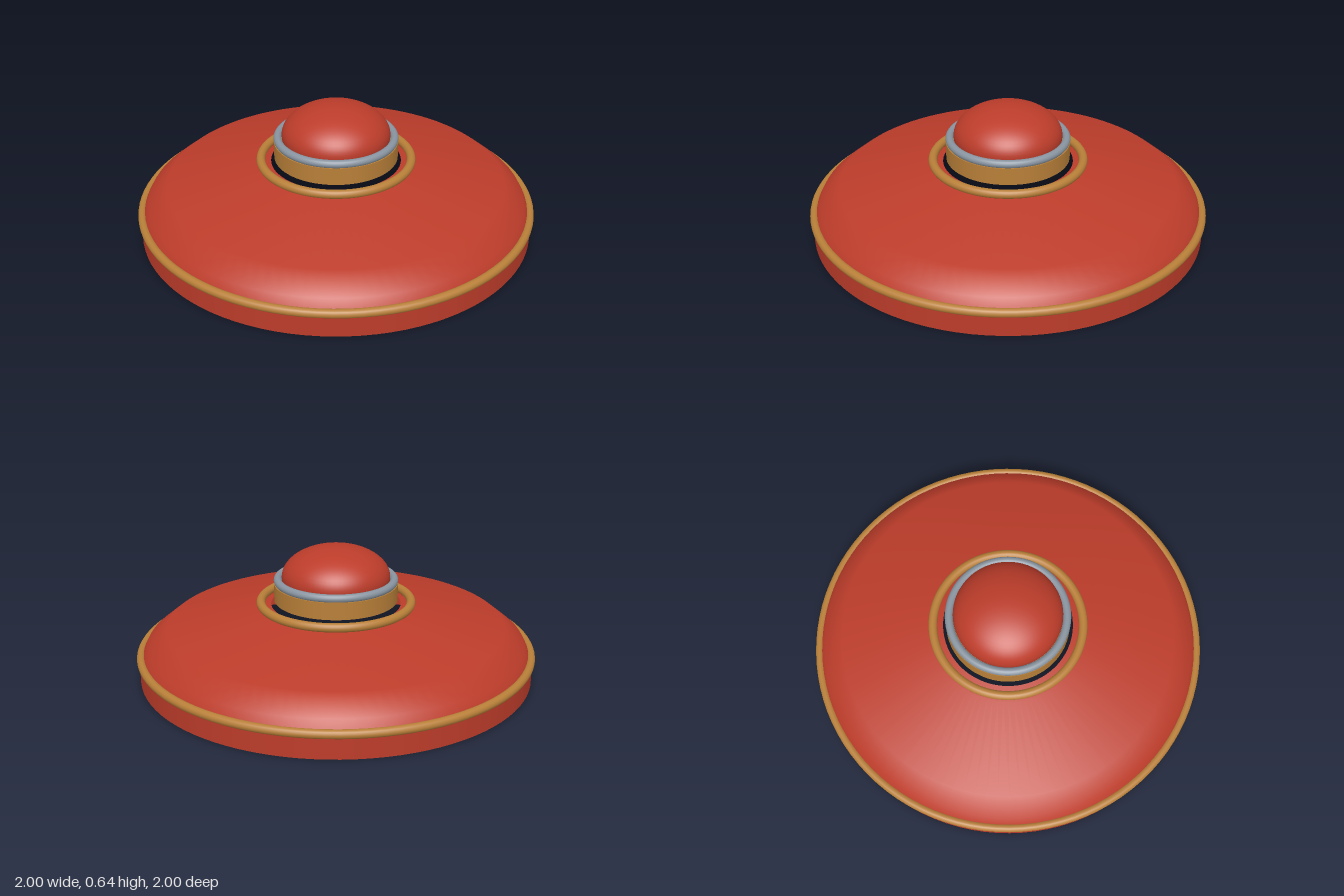
import * as THREE from 'three';

const SEGMENTS = 96;

export function createModel() {
  const model = new THREE.Group();
  model.name = 'domedDisc';

  const red = new THREE.MeshStandardMaterial({ color: 0xbc3c2a });
  red.name = 'red';
  red.side = THREE.DoubleSide; // the shell is open below
  const gold = new THREE.MeshStandardMaterial({ color: 0xb87f38 });
  gold.name = 'gold';
  const steel = new THREE.MeshStandardMaterial({ color: 0x8894a0 });
  steel.name = 'steel';

  function add(name, geometry, material, y = 0) {
    const mesh = new THREE.Mesh(geometry, material);
    mesh.name = name;
    mesh.position.y = y;
    model.add(mesh);
    return mesh;
  }

  // Horizontal ring of round section
  function addRing(name, radius, tube, y, material) {
    const geometry = new THREE.TorusGeometry(radius, tube, 16, SEGMENTS);
    geometry.rotateX(Math.PI / 2);
    return add(name, geometry, material, y);
  }

  // Upright open wall at the base
  add('rimWall', new THREE.CylinderGeometry(0.987, 0.987, 0.115, SEGMENTS, 1, true), red, 0.0575);

  // Sloping shell with a round opening in the middle
  const profile = [[0.975, 0.115], [0.945, 0.172], [0.847, 0.252], [0.4, 0.338], [0.325, 0.352]];
  const points = profile.map(([r, y]) => new THREE.Vector2(r, y));
  add('shell', new THREE.LatheGeometry(points, SEGMENTS), red);

  // Trim rings on the shell
  addRing('rimTrim', 0.979, 0.021, 0.117, gold);
  addRing('openingTrim', 0.376, 0.022, 0.361, gold);

  // Floating neck, its collar, and the flattened dome that shows through underneath
  add('neck', new THREE.CylinderGeometry(0.309, 0.309, 0.087, SEGMENTS), gold, 0.4165);
  addRing('collar', 0.29, 0.02, 0.475, steel);
  const dome = add('dome', new THREE.SphereGeometry(0.27, 64, 32), red, 0.49);
  dome.scale.y = 0.155 / 0.27;

  return model;
}
